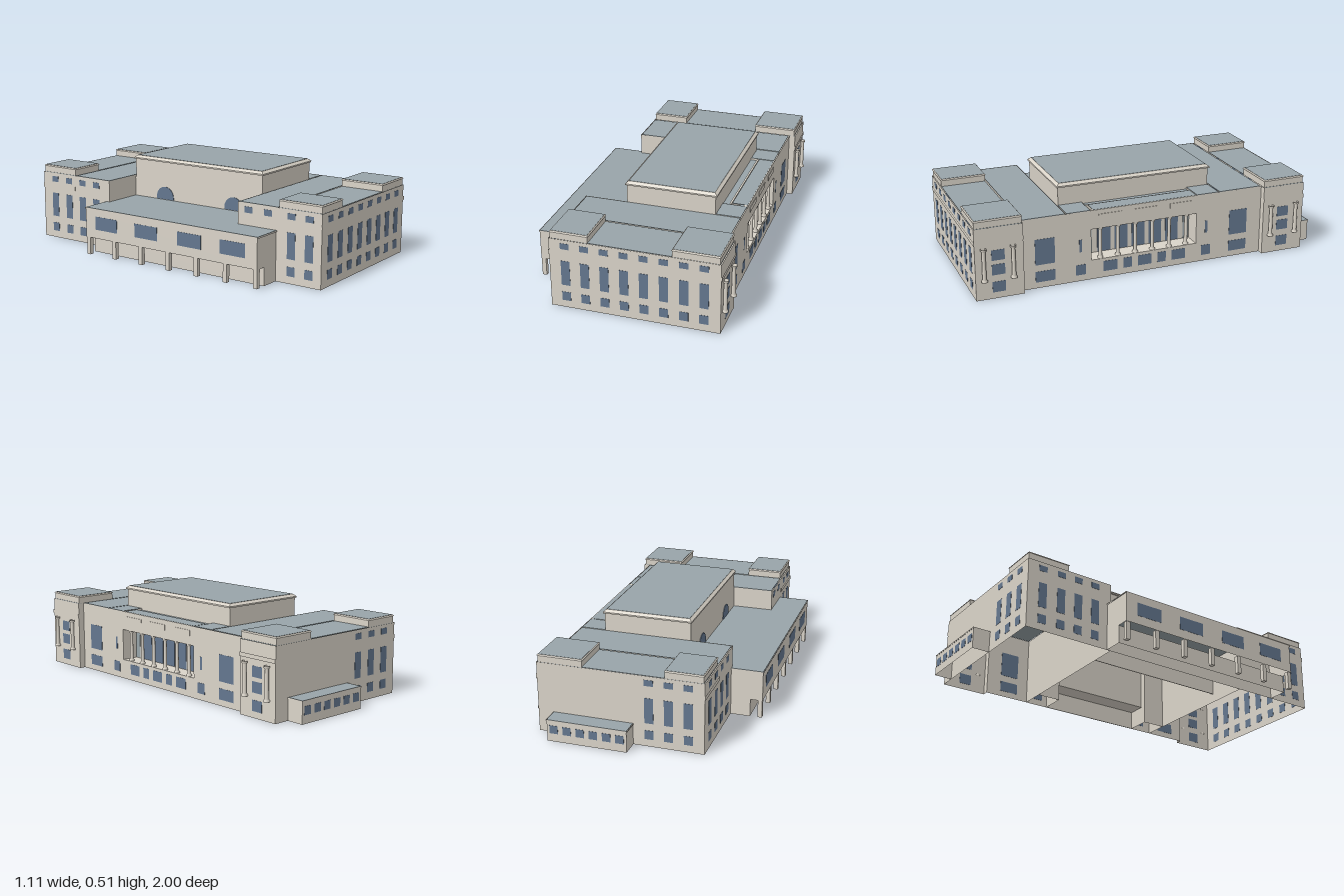
import * as THREE from 'three';

export function createModel() {
  const model = new THREE.Group();
  model.name = 'building';

  const mat = (name, color) => {
    const m = new THREE.MeshStandardMaterial({ color, side: THREE.DoubleSide });
    m.name = name;
    return m;
  };
  const stone = mat('stone', 0xdad4c9);
  const slate = mat('roofSlate', 0x98a4a9);
  const glass = mat('windowGlass', 0x64778f);

  const add = (name, geo, material) => {
    const m = new THREE.Mesh(geo, material);
    m.name = name;
    model.add(m);
  };
  // Box given by its limits; taper pulls the top edges inward
  const box = (name, material, x0, x1, y0, y1, z0, z1, taper = 0) => {
    let g = new THREE.BoxGeometry(x1 - x0, y1 - y0, z1 - z0);
    if (taper) {
      const p = g.attributes.position;
      for (let i = 0; i < p.count; i++) {
        if (p.getY(i) < 0) continue;
        p.setX(i, p.getX(i) - Math.sign(p.getX(i)) * taper);
        p.setZ(i, p.getZ(i) - Math.sign(p.getZ(i)) * taper);
      }
      g = g.toNonIndexed();
      g.computeVertexNormals();
    }
    g.translate((x0 + x1) / 2, (y0 + y1) / 2, (z0 + z1) / 2);
    add(name, g, material);
  };
  // Hollow walls raised from a plan outline of [x, z] corners, open above and below
  const walls = (name, plan, y0, y1) => {
    const shape = new THREE.Shape(plan.map(([x, z]) => new THREE.Vector2(x, -z)));
    const g = new THREE.ExtrudeGeometry(shape, { depth: y1 - y0, bevelEnabled: false });
    const { start, count } = g.groups[1];
    g.clearGroups();
    for (const key of ['position', 'normal', 'uv']) {
      const a = g.attributes[key];
      const n = a.itemSize;
      g.setAttribute(key, new THREE.BufferAttribute(a.array.slice(start * n, (start + count) * n), n));
    }
    g.rotateX(-Math.PI / 2);
    g.translate(0, y0, 0);
    add(name, g, stone);
  };
  const rect = (x0, x1, z0, z1) => [[x0, z0], [x1, z0], [x1, z1], [x0, z1]];
  const roof = (name, x0, x1, y, z0, z1) => box(name, slate, x0, x1, y - 0.002, y + 0.001, z0, z1);

  // Window plates on walls facing x or z
  const T = 0.0012;
  const winX = (x, z, w, y0, y1, material = glass) =>
    box('window', material, x - T, x + T, y0, y1, z - w / 2, z + w / 2);
  const winZ = (z, x, w, y0, y1) => box('window', glass, x - w / 2, x + w / 2, y0, y1, z - T, z + T);
  const rows = [[0.04, 0.09], [0.13, 0.27], [0.337, 0.37]];

  // Round column with base and capital
  const column = (name, x, z, y0, y1, r) => {
    const p = [[r * 1.5, y0], [r * 1.5, y0 + 0.008], [r, y0 + 0.014], [r * 0.88, y1 - 0.016],
      [r * 1.4, y1 - 0.01], [r * 1.4, y1]].map(([a, b]) => new THREE.Vector2(a, b));
    const g = new THREE.LatheGeometry(p, 16);
    g.translate(x, 0, z);
    add(name, g, stone);
  };

  // Plate with a round top, facing +x or -x
  const archWindow = (x, z, w, y0, y1, side) => {
    const r = w / 2;
    const s = new THREE.Shape();
    s.moveTo(-r, y0);
    s.lineTo(r, y0);
    s.lineTo(r, y1 - r);
    s.absarc(0, y1 - r, r, 0, Math.PI, false);
    s.lineTo(-r, y0);
    const g = new THREE.ExtrudeGeometry(s, { depth: 0.003, bevelEnabled: false, curveSegments: 10 });
    g.rotateY(side * Math.PI / 2);
    g.translate(x, 0, z);
    add('archedWindow', g, glass);
  };

  // End pavilions joined to the cross wings, z from the hall outwards
  for (const [zi, zm, zo] of [[0.495, 0.74, 0.997], [-0.39, -0.65, -0.9]]) {
    const front = zo > 0;
    const z0 = Math.min(zm, zo), z1 = Math.max(zm, zo);
    const w0 = Math.min(zi, zm), w1 = Math.max(zi, zm);
    walls('endWalls', [[-0.377, zi], [0.49, zi], [0.49, zm], [0.525, zm], [0.525, zo], [-0.377, zo]], 0, 0.39);
    roof('pavilionRoof', -0.372, 0.52, 0.39, z0 + 0.005, z1 - 0.005);
    roof('crossWingRoof', -0.372, 0.485, 0.39, w0 + 0.005, w1 - 0.005);
    walls('stringCourse', rect(-0.381, 0.53, z0, front ? 1.0 : z1), 0.302, 0.324);
    for (const [x0, x1] of [[-0.37, -0.168], [0.275, 0.518]]) {
      walls('cornerBlock', rect(x0, x1, z0 + 0.004, z1 - 0.004), 0.39, 0.426);
      box('cornerCornice', stone, x0 - 0.004, x1 + 0.004, 0.426, 0.432, z0, z1, 0.005);
      roof('cornerRoof', x0 + 0.003, x1 - 0.003, 0.432, z0 + 0.007, z1 - 0.007);
    }
    // Windows and columns on the entrance side
    const zc = front ? 0.875 : -0.772;
    for (const [y0, y1] of [[0.035, 0.093], [0.13, 0.188], [0.21, 0.267]]) winX(0.525, zc, 0.07, y0, y1);
    for (const d of [-0.078, 0.078]) column('pavilionColumn', 0.536, zc + d, 0.105, 0.285, 0.011);
  }

  // Front and back end windows
  for (let i = 0; i < 8; i++) {
    const x = -0.292 + i * 0.1045;
    for (const [y0, y1] of rows) {
      winZ(0.997, x, 0.048, y0, y1);
      if (i < 3) winZ(-0.9, x, 0.048, y0, y1);
    }
  }
  // Windows on the -x ends of the pavilions and wings
  for (const z of [-0.81, -0.7, -0.595, -0.49, 0.82, 0.925])
    for (const [y0, y1] of rows) winX(-0.377, z, 0.048, y0, y1);
  for (const z of [0.56, 0.68]) winX(-0.377, z, 0.048, 0.337, 0.37);

  // Central hall over an open court
  walls('hall', rect(-0.142, 0.349, -0.385, 0.491), 0.375, 0.488);
  box('hallRearWall', stone, -0.142, -0.138, 0.05, 0.38, -0.39, 0.495);
  box('hallCorniceLip', stone, -0.149, 0.357, 0.488, 0.496, -0.392, 0.498);
  box('hallCornice', stone, -0.149, 0.357, 0.496, 0.509, -0.392, 0.498, 0.015);
  roof('hallRoof', -0.133, 0.341, 0.509, -0.376, 0.482);
  for (const z of [-0.17, 0.305]) archWindow(-0.142, z, 0.12, 0.272, 0.345, -1);

  // Entrance side: solid bays either side of the loggia
  for (const [z0, z1] of [[0.358, 0.495], [-0.39, -0.255]]) {
    walls('entranceBay', rect(0.35, 0.49, z0, z1), 0, 0.39);
    roof('entranceBayRoof', 0.352, 0.485, 0.39, z0 + 0.003, z1 - 0.003);
  }
  box('loggiaFrontWall', stone, 0.486, 0.49, 0, 0.11, -0.255, 0.358);
  box('loggiaFloor', stone, 0.38, 0.486, 0.106, 0.11, -0.255, 0.358);
  box('loggiaBackWall', stone, 0.385, 0.395, 0.106, 0.386, -0.255, 0.358);
  box('loggiaEntablature', stone, 0.465, 0.49, 0.285, 0.39, -0.255, 0.358);
  roof('loggiaRoof', 0.4, 0.485, 0.39, -0.252, 0.343);
  roof('loggiaCeiling', 0.395, 0.465, 0.288, -0.255, 0.358);
  roof('gutterRoof', 0.345, 0.385, 0.379, -0.255, 0.358);
  for (let i = 0; i < 6; i++) column('loggiaColumn', 0.474, 0.301 - i * 0.1, 0.11, 0.286, 0.01);
  for (let i = 0; i < 5; i++) archWindow(0.395, 0.251 - i * 0.1, 0.075, 0.112, 0.283, 1);
  for (const z of [0.338, -0.235]) winX(0.396, z, 0.035, 0.112, 0.284, slate);
  for (const z of [0.25, 0.045, -0.16]) box('atticPanel', stone, 0.488, 0.493, 0.335, 0.365, z - 0.065, z + 0.065);

  // Entrance side windows
  for (const z of [0.615, -0.51]) {
    winX(0.49, z, 0.108, 0.13, 0.273);
    winX(0.49, z, 0.108, 0.033, 0.093);
  }
  for (const z of [0.418, -0.315]) {
    winX(0.49, z, 0.055, 0.035, 0.093);
    winX(0.49, z, 0.015, 0.165, 0.235);
  }
  for (let i = 0; i < 5; i++) winX(0.49, 0.251 - i * 0.1, i % 2 ? 0.05 : 0.08, 0.035, 0.093);

  // Low rear wing, hollow, raised on posts
  walls('rearWing', [[-0.552, -0.412], [-0.377, -0.412], [-0.377, -0.39], [-0.142, -0.39],
    [-0.142, 0.495], [-0.377, 0.495], [-0.377, 0.73], [-0.552, 0.73]], 0.1, 0.264);
  walls('rearWingBase', rect(-0.485, -0.377, -0.412, 0.73), 0, 0.1);
  walls('rearWingCornice', rect(-0.555, -0.377, -0.416, 0.734), 0.262, 0.269);
  roof('rearWingRoof', -0.552, -0.377, 0.269, -0.413, 0.731);
  roof('rearInnerRoof', -0.377, -0.14, 0.269, -0.39, 0.495);
  for (let i = 0; i < 7; i++) {
    const z = -0.398 + i * 0.186;
    box('rearPost', stone, -0.55, -0.526, 0, 0.1, z - 0.012, z + 0.012);
  }
  for (const z of [-0.265, 0.015, 0.305, 0.58]) winX(-0.552, z, 0.155, 0.15, 0.225);

  // Small annex on the back end
  walls('annex', rect(0.003, 0.437, -0.997, -0.9), 0, 0.114);
  walls('annexCornice', rect(0, 0.44, -1, -0.9), 0.112, 0.12);
  roof('annexRoof', 0.003, 0.437, 0.119, -0.997, -0.903);
  for (let i = 0; i < 6; i++) winZ(-0.997, 0.04 + i * 0.072, 0.046, 0.045, 0.09);

  return model;
}
